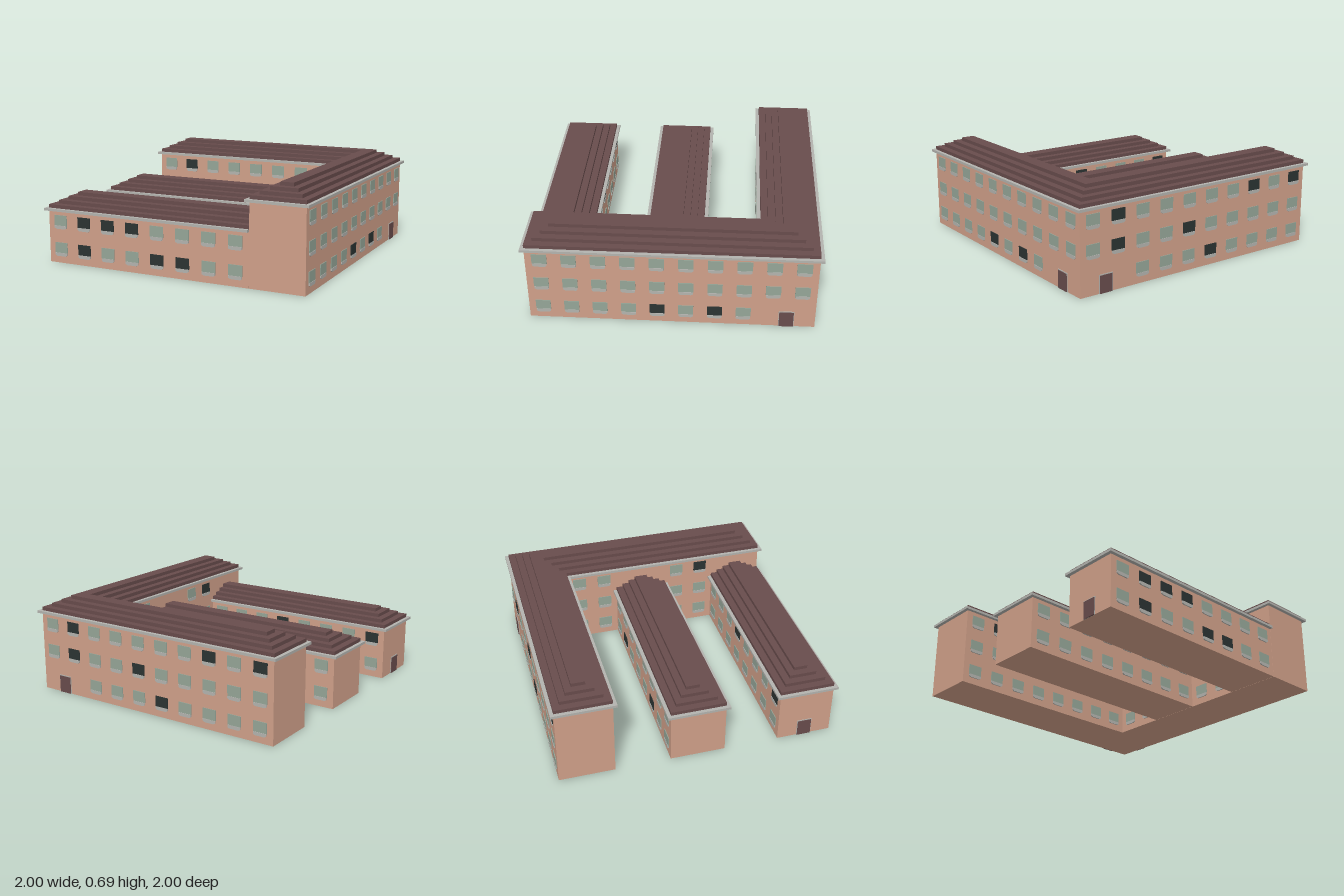
import * as THREE from 'three';

const mat = (name, color) => Object.assign(new THREE.MeshStandardMaterial({ color }), { name });

export function createModel() {
  const model = new THREE.Group();
  model.name = 'courtyardBuilding';
  const wall = mat('terracotta wall', 0xd0a089);
  const roof = mat('brown roof', 0x684c4c);
  const stone = mat('pale stone', 0xb3b3ae);
  const glass = mat('grey green glass', 0x95a597);
  const dark = mat('dark glass', 0x2b3332);

  // Flat outline in (x, z) raised from y0 to y1
  function slab(name, pts, y0, y1, material) {
    const shape = new THREE.Shape(pts.map(([x, z]) => new THREE.Vector2(x, -z)));
    const geo = new THREE.ExtrudeGeometry(shape, { depth: y1 - y0, bevelEnabled: false });
    geo.rotateX(-Math.PI / 2);
    const mesh = new THREE.Mesh(geo, material);
    mesh.name = name;
    mesh.position.y = y0;
    model.add(mesh);
  }

  // L-shaped outline, d is the inset from the cornice edge
  const corner = (d) => [
    [-1 + d, -1 + d], [1 - d, -1 + d], [1 - d, 1 - d],
    [0.56 + d, 1 - d], [0.56 + d, -0.56 - d], [-1 + d, -0.56 - d],
  ];
  // Low wing outline around centre line zc, butting against the tall block
  const wing = (zc, d) => [
    [-1 + d, zc - 0.22 + d], [0.583, zc - 0.22 + d],
    [0.583, zc + 0.22 - d], [-1 + d, zc + 0.22 - d],
  ];

  // Walls, cornice and four roof steps of one block
  function block(name, outline, top) {
    slab(name + 'Walls', outline(0.025), 0, top, wall);
    slab(name + 'Cornice', outline(0), top, top + 0.018, stone);
    for (let i = 0; i < 4; i++) {
      const y = top + 0.018 + i * 0.025;
      slab(name + 'RoofStep', outline(0.025 + i * 0.049), y, y + 0.025, roof);
    }
  }
  block('tallBlock', corner, 0.568);
  block('middleWing', (d) => wing(0, d), 0.372);
  block('frontWing', (d) => wing(0.78, d), 0.372);

  // Shared window and door parts
  const paneGeo = new THREE.BoxGeometry(0.102, 0.074, 0.006);
  const doorGeo = new THREE.BoxGeometry(0.098, 0.122, 0.008);
  const doorTrimGeo = new THREE.BoxGeometry(0.106, 0.128, 0.005);
  const sillShape = new THREE.Shape([
    [-0.049, 0.024], [-0.049, 0.008], [-0.036, 0], [0.036, 0], [0.049, 0.008], [0.049, 0.024],
  ].map(([x, y]) => new THREE.Vector2(x, y)));
  const sillGeo = new THREE.ExtrudeGeometry(sillShape, { depth: 0.008, bevelEnabled: false });

  function part(group, name, geo, material, x, y, z) {
    const mesh = new THREE.Mesh(geo, material);
    mesh.name = name;
    mesh.position.set(x, y, z);
    group.add(mesh);
  }

  // Facade: a plane turned by angle at the given distance from the centre.
  // rows[floor] lists positions along it, darks lists 'floor:index' pairs.
  function facade(name, angle, dist, rows, darks = [], doorAt = null) {
    const group = new THREE.Group();
    group.name = name;
    group.rotation.y = angle;
    rows.forEach((row, floor) => row.forEach((u, i) => {
      const y = 0.11 + floor * 0.196;
      const pane = darks.includes(floor + ':' + i) ? dark : glass;
      part(group, 'windowPane', paneGeo, pane, u, y, dist + 0.002);
      part(group, 'windowSill', sillGeo, stone, u, y - 0.061, dist);
    }));
    if (doorAt !== null) {
      part(group, 'doorTrim', doorTrimGeo, stone, doorAt, 0.064, dist + 0.001);
      part(group, 'door', doorGeo, roof, doorAt, 0.061, dist + 0.003);
    }
    model.add(group);
  }

  const line = (n, start) => Array.from({ length: n }, (_, i) => start + i * 0.195);
  const ten = line(10, -0.8775);
  const west = line(8, -0.8775);          // south-facing walls, from -x
  const east = line(8, -0.4875);          // north-facing walls, towards -x
  const R = Math.PI / 2;

  // Outer faces of the tall block
  facade('rightFacade', R, 0.975, [ten.slice(0, 8), ten, ten], ['0:4', '0:6'], 0.78);
  facade('backFacade', Math.PI, 0.975, [ten.slice(2), ten, ten],
    ['2:1', '1:1', '1:4', '2:7', '2:9', '0:3'], -0.78);

  // Courtyard faces of the tall block
  facade('backWingCourtFacade', 0, -0.585, [west, west, west], ['2:1']);
  const gaps = [-0.4875, -0.2925, 0.2925, 0.4875];
  facade('sideWingCourtFacade', -R, -0.585, [gaps, gaps, gaps], ['2:3']);

  // Low wings, both long sides, and the end door
  facade('frontWingFrontFacade', 0, 0.975, [west, west],
    ['1:1', '1:2', '1:3', '0:1', '0:4', '0:5']);
  facade('frontWingBackFacade', Math.PI, -0.585, [east, east], ['1:3', '1:7']);
  facade('middleWingFrontFacade', 0, 0.195, [west, west], ['1:3', '1:4']);
  facade('middleWingBackFacade', Math.PI, 0.195, [east, east], ['0:1', '0:5']);
  facade('frontWingEndFacade', -R, 0.975, [], [], 0.78);

  return model;
}
